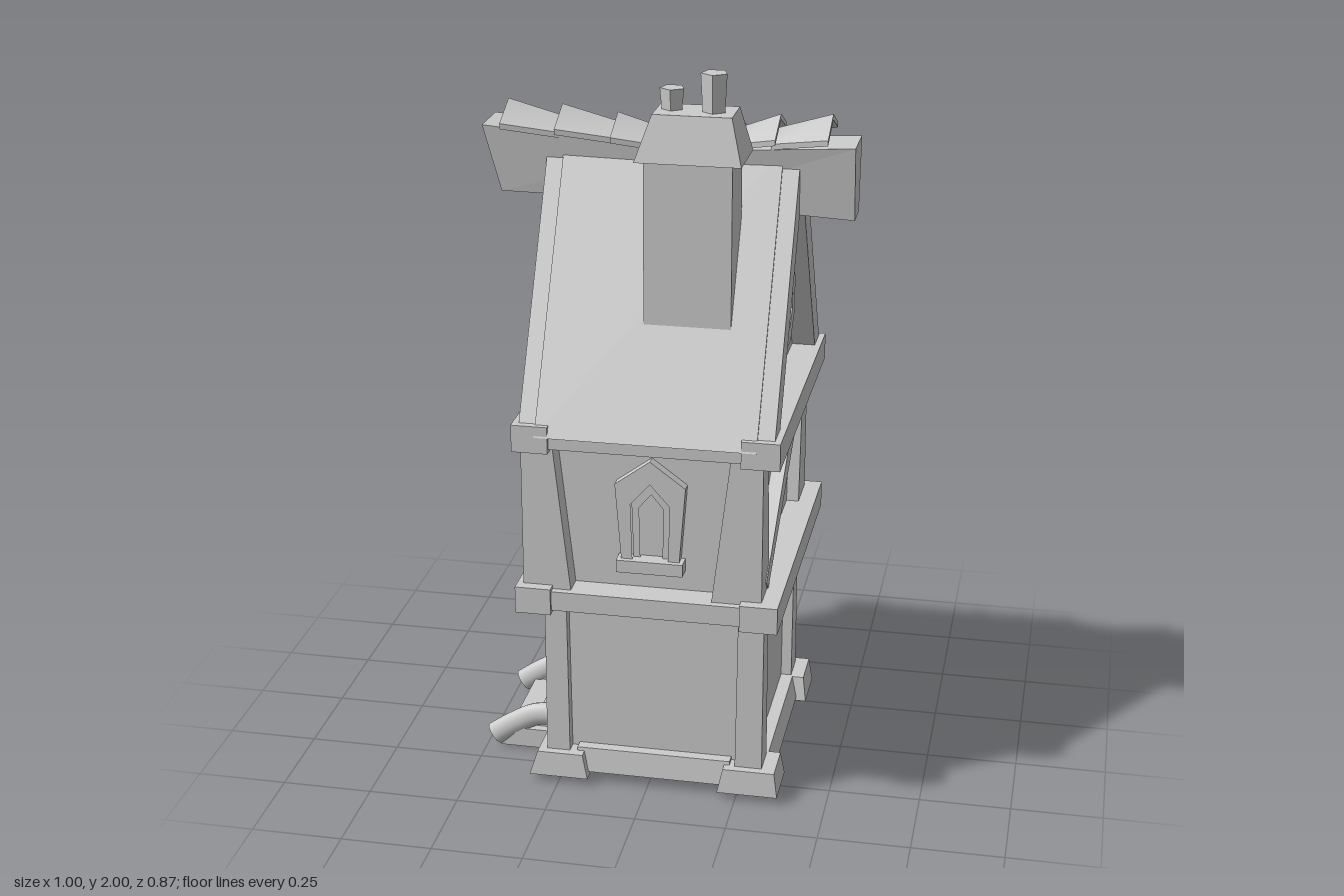
import * as THREE from 'three';
import { toCreasedNormals } from 'three/addons/utils/BufferGeometryUtils.js';

const flat = new THREE.MeshStandardMaterial({ color: 0xcccccc, flatShading: true });
const smooth = new THREE.MeshStandardMaterial({ color: 0xcccccc });
const lerp = THREE.MathUtils.lerp;

export function createModel() {
  const house = new THREE.Group();
  house.name = 'house';

  const add = (name, geo, mat = flat, parent = house) => {
    const mesh = new THREE.Mesh(geo, mat);
    mesh.name = name;
    parent.add(mesh);
    return mesh;
  };

  // Moves each vertex of a unit box by a rule
  const warp = (geo, rule) => {
    const p = geo.attributes.position;
    for (let i = 0; i < p.count; i++) p.setXYZ(i, ...rule(p.getX(i), p.getY(i), p.getZ(i)));
    geo.computeVertexNormals();
    return geo;
  };

  // Block between two rectangles [x0, x1, z0, z1] at heights y0 and y1
  const block = (name, y0, y1, bottom, top = bottom) =>
    add(name, warp(new THREE.BoxGeometry(1, 1, 1), (x, y, z) => {
      const r = bottom.map((v, i) => lerp(v, top[i], y + 0.5));
      return [lerp(r[0], r[1], x + 0.5), lerp(y0, y1, y + 0.5), lerp(r[2], r[3], z + 0.5)];
    }));

  const outline = (pts) => new THREE.Shape(pts.map((p) => new THREE.Vector2(...p)));
  const extrude = (shape, depth) => new THREE.ExtrudeGeometry(shape, { depth, bevelEnabled: false });
  // Prism with a (z, y) outline, running from x0 to x1
  const prismX = (name, shape, x0, x1) =>
    add(name, extrude(shape, x1 - x0).rotateY(-Math.PI / 2).translate(x1, 0, 0));

  // Round bar swept along a list of points
  const bar = (name, pts, radius) => {
    const path = new THREE.CatmullRomCurve3(pts.map((p) => new THREE.Vector3(...p)));
    const section = new THREE.Shape().absarc(0, 0, radius, 0, Math.PI * 2);
    const geo = new THREE.ExtrudeGeometry(section, { steps: 14, curveSegments: 6, extrudePath: path });
    return add(name, toCreasedNormals(geo, 0.9), smooth);
  };

  // Lower floor: thin walls, open underneath
  block('lowerFrontWall', 0.06, 0.6, [-0.25, 0.28, 0.27, 0.29]);
  block('lowerBackWall', 0.06, 0.6, [-0.25, 0.28, -0.29, -0.27]);
  block('lowerLeftWall', 0.06, 0.6, [0.27, 0.29, -0.29, 0.29]);
  block('lowerRightWall', 0.06, 0.6, [-0.26, -0.24, -0.29, 0.29]);

  // Upper floor
  block('upperWalls', 0.6, 1.06, [-0.265, 0.29, -0.345, 0.345]);

  // Corner stones and corner posts
  for (const sz of [1, -1]) {
    for (const left of [true, false]) {
      const rect = (outer, inner, zo, zi) => [
        Math.min(outer, inner), Math.max(outer, inner),
        Math.min(zo * sz, zi * sz), Math.max(zo * sz, zi * sz)];
      const pick = (a, b) => (left ? a : b);
      block('cornerStone', 0.02, 0.09,
        rect(pick(0.368, -0.33), pick(0.2, -0.165), 0.355, 0.21),
        rect(pick(0.358, -0.308), pick(0.215, -0.18), 0.348, 0.225));
      block('lowerPost', 0.08, 0.58,
        rect(pick(0.32, -0.285), pick(0.245, -0.22), 0.325, 0.235),
        rect(pick(0.32, -0.285), pick(0.25, -0.225), 0.32, 0.25));
      block('upperPost', 0.62, 1.04,
        rect(pick(0.325, -0.32), pick(0.19, -0.19), 0.405, 0.275),
        rect(pick(0.325, -0.32), pick(0.24, -0.235), 0.405, 0.325));
    }
    // Base beams on the front and back
    const z = 0.29 * sz;
    block('baseBeam', 0.03, 0.1, [-0.2, 0.23, z - 0.04, z + 0.04], [-0.2, 0.23, z - 0.03, z + 0.03]);
  }
  block('baseBeam', 0.03, 0.09, [0.26, 0.34, -0.24, 0.24], [0.265, 0.325, -0.24, 0.24]);
  block('baseBeam', 0.03, 0.09, [-0.3, -0.22, -0.24, 0.24], [-0.285, -0.225, -0.24, 0.24]);

  // Beam frames around both storeys
  for (const y of [0.56, 1.025]) {
    block('sideBeam', y, y + 0.075, [0.27, 0.372, -0.432, 0.435]);
    block('sideBeam', y, y + 0.075, [-0.337, -0.24, -0.432, 0.435]);
    for (const sz of [1, -1]) {
      const z = 0.37 * sz;
      block('crossBeam', y + 0.01, y + 0.065, [-0.25, 0.28, z - 0.055, z + 0.055]);
    }
  }

  // Diagonal braces
  prismX('wallBrace', outline([[0.34, 0.665], [0.31, 0.63], [-0.36, 1.025], [-0.22, 1.025]]), 0.28, 0.328);
  prismX('gableBrace', outline([[0.33, 1.17], [0.3, 1.11], [-0.2, 1.39], [-0.17, 1.46]]), -0.305, -0.26);

  // Gable body and roof; the slopes reach a little below the rafters
  prismX('gable', outline([[-0.36, 1.05], [0.36, 1.05], [0.36, 1.1], [0.02, 1.68], [-0.02, 1.68], [-0.36, 1.1]]), -0.28, 0.29);
  const roofSide = (s, out, drop) => outline([
    [s * (0.417 + out + drop * 0.57), 1.095 - drop], [s * (0.035 + out), 1.765], [0, 1.765], [0, 1.67],
    [s * (0.33 + drop * 0.57), 1.095 - drop]]);
  for (const s of [1, -1]) {
    prismX('roofSlope', roofSide(s, 0.006, 0.025), -0.275, 0.31);
    prismX('rafter', roofSide(s, 0, 0), 0.308, 0.355);
    prismX('rafter', roofSide(s, 0, 0), -0.32, -0.273);
  }

  // Sagging ridge beam with a tapered section
  add('ridgeBeam', warp(new THREE.BoxGeometry(1, 1, 1, 2), (x, y, z) => {
    const top = y > 0;
    const px = x < -0.1 ? (top ? -0.493 : -0.45) : x > 0.1 ? 0.5 : 0.02;
    const py = x < -0.1 ? (top ? 1.8 : 1.615) : x > 0.1 ? (top ? 1.785 : 1.585) : (top ? 1.755 : 1.61);
    return [px, py, z * (top ? 0.14 : 0.09)];
  }));

  // Folded ridge tiles, flaring outward: [narrow x, wide x, wide peak height]
  const tiles = [[-0.27, -0.437, 1.858], [-0.12, -0.29, 1.85], [0.01, -0.14, 1.835],
    [-0.01, 0.19, 1.835], [0.175, 0.295, 1.85], [0.28, 0.432, 1.856]];
  for (const [narrow, wide, peak] of tiles) {
    const flip = narrow > wide;
    add('ridgeTile', warp(new THREE.BoxGeometry(1, 1, 1, 1, 1, 2), (x, y, z) => {
      const t = flip ? 0.5 - x : x + 0.5;
      const ridge = lerp(peak - 0.045, peak, t);
      const drop = lerp(0.025, 0.045, t) * Math.abs(z) * 2;
      return [lerp(narrow, wide, t), ridge - drop + (y - 0.5) * 0.015, z * lerp(0.14, 0.2, t)];
    }), smooth);
  }

  // Chimney with two pots
  block('chimneyShaft', 1.3, 1.79, [-0.015, 0.215, 0.13, 0.28]);
  block('chimneyCap', 1.78, 1.9, [-0.037, 0.24, 0.11, 0.295], [0.005, 0.21, 0.143, 0.265]);
  for (const [x, z, r, h] of [[0.045, 0.195, 0.033, 0.055], [0.155, 0.205, 0.036, 0.1]]) {
    add('chimneyPot', new THREE.CylinderGeometry(r, r * 0.85, h, 5)).position.set(x, 1.9 + h / 2, z);
  }

  // Pointed windows with a sill on the front, back and right
  const pointedWindow = (x, z, turn) => {
    const win = new THREE.Group();
    win.name = 'pointedWindow';
    const inner = [[-0.048, 0.71], [-0.053, 0.875], [0, 0.935], [0.053, 0.875], [0.048, 0.71]];
    const frame = outline([[-0.078, 0.71], [-0.095, 0.93], [0, 1.0], [0.095, 0.93], [0.078, 0.71]]);
    frame.holes.push(outline(inner));
    add('windowFrame', extrude(frame, 0.035), flat, win);
    const lining = outline(inner);
    lining.holes.push(outline([[-0.03, 0.71], [-0.033, 0.86], [0, 0.9], [0.033, 0.86], [0.03, 0.71]]));
    add('windowLining', extrude(lining, 0.018), flat, win);
    add('windowSill', new THREE.BoxGeometry(0.18, 0.035, 0.05), flat, win).position.set(0, 0.7, 0.025);
    win.position.set(x, 0, z);
    win.rotation.y = turn;
    house.add(win);
  };
  pointedWindow(0.02, 0.34, 0);
  pointedWindow(0.02, -0.34, Math.PI);
  pointedWindow(-0.26, 0, -Math.PI / 2);

  // Octagonal gable window
  const octagon = (r) => outline(Array.from({ length: 8 }, (_, i) => {
    const a = (i + 0.5) * Math.PI / 4;
    return [Math.cos(a) * r, 1.325 + Math.sin(a) * r];
  }));
  const ring = (name, outer, inner, x1) => {
    const shape = octagon(outer);
    shape.holes.push(octagon(inner));
    prismX(name, shape, 0.28, x1);
  };
  ring('roundWindowFrame', 0.125, 0.075, 0.325);
  ring('roundWindowLining', 0.08, 0.062, 0.305);

  // Arched doorway on the right side
  const arch = [[-0.262, 0.06, -0.13], [-0.262, 0.2, -0.13], [-0.262, 0.33, -0.13]];
  for (let i = 1; i < 8; i++) {
    const a = Math.PI * (1 - i / 8);
    arch.push([-0.262, 0.34 + 0.13 * Math.sin(a), 0.13 * Math.cos(a)]);
  }
  arch.push([-0.262, 0.33, 0.13], [-0.262, 0.2, 0.13], [-0.262, 0.06, 0.13]);
  bar('doorArch', arch, 0.025);

  // Steps as open treads between two stringers, with curved handrails
  block('lowerTread', 0.015, 0.045, [-0.44, -0.34, -0.16, 0.155]);
  block('upperTread', 0.06, 0.09, [-0.36, -0.21, -0.16, 0.155]);
  for (const z of [-0.167, 0.162]) {
    block('stringer', 0.003, 0.06, [-0.46, -0.21, z - 0.018, z + 0.018], [-0.4, -0.21, z - 0.018, z + 0.018]);
    const rail = bar('handrail', [[-0.48, 0.027, 0], [-0.42, 0.068, 0], [-0.355, 0.102, 0], [-0.27, 0.107, 0]], 0.034);
    rail.scale.z = 0.72;
    rail.position.z = z;
  }

  return house;
}
